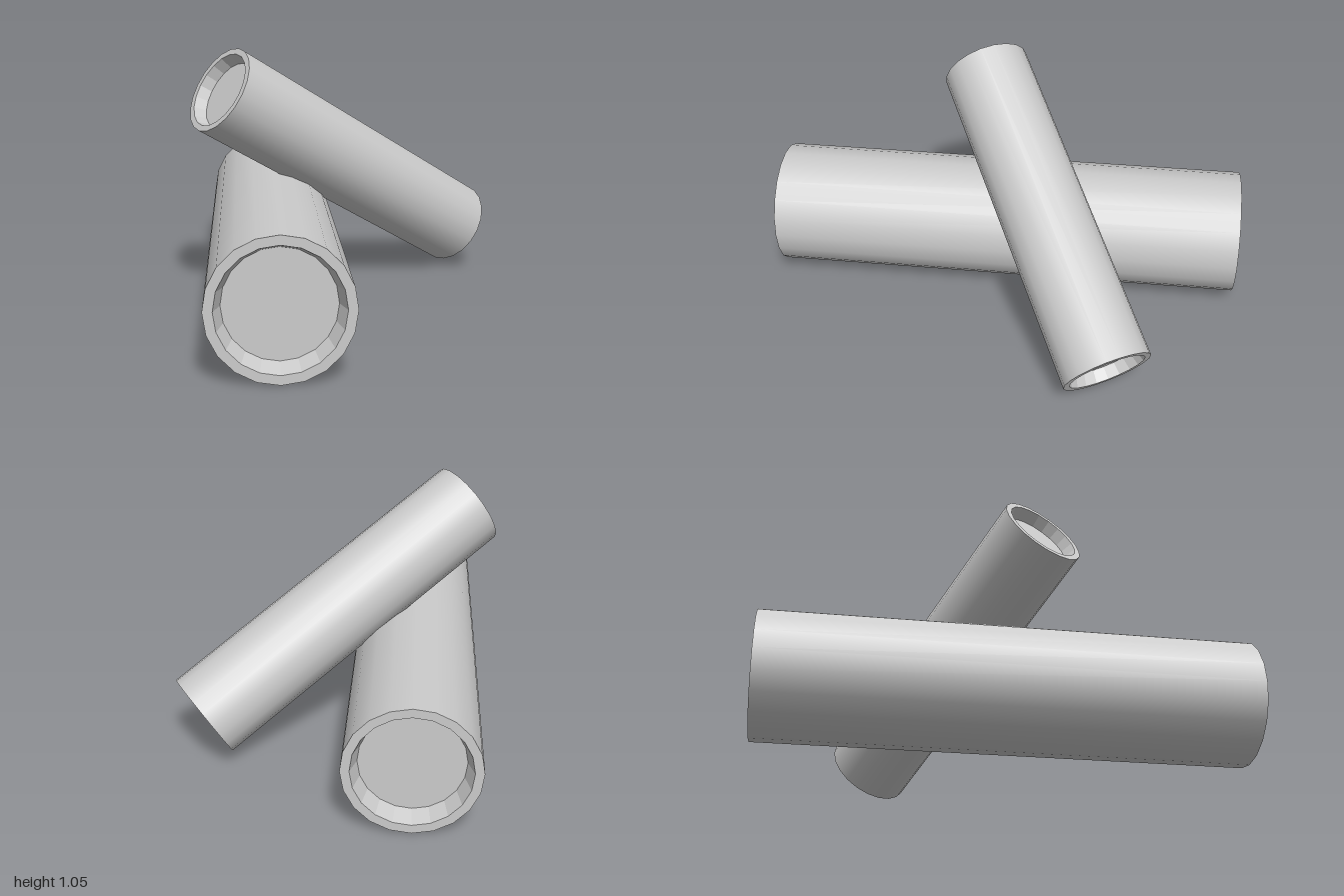
import * as THREE from 'three';

const SIDES = 20;
const smooth = new THREE.MeshStandardMaterial({ color: 0xcccccc });
const faceted = new THREE.MeshStandardMaterial({ color: 0xcccccc, flatShading: true });

function lathe(points, material, name) {
  const geometry = new THREE.LatheGeometry(points.map(([r, y]) => new THREE.Vector2(r, y)), SIDES);
  const mesh = new THREE.Mesh(geometry, material);
  mesh.name = name;
  return mesh;
}

// A log along its own y axis: smooth bark and, at both ends, a rim around a tapered recess
function createLog(name, radius, length, lip, floor, depth) {
  const h = length / 2;
  const log = new THREE.Group();
  log.name = name;
  log.add(
    lathe([[radius, -h], [radius, h]], smooth, 'bark'),
    lathe([[0, -h + depth], [floor, -h + depth], [lip, -h], [radius, -h]], faceted, 'lowerEnd'),
    lathe([[radius, h], [lip, h], [floor, h - depth], [0, h - depth]], faceted, 'upperEnd')
  );
  return log;
}

export function createModel() {
  const model = new THREE.Group();
  model.name = 'logs';

  // Thick log lying on the ground, turned 30 degrees
  const lying = createLog('lyingLog', 0.261, 2.0, 0.226, 0.202, 0.073);
  lying.rotation.set(Math.PI / 2, -Math.PI / 6, 0, 'YXZ');
  lying.position.set(-0.175, 0.262, 0);

  // Thinner log leaning across it, sloping down to +x
  const leaning = createLog('leaningLog', 0.183, 1.414, 0.158, 0.142, 0.051);
  leaning.rotation.z = -Math.PI * 2 / 3;
  leaning.position.set(0.192, 0.538, 0);

  model.add(lying, leaning);
  return model;
}
